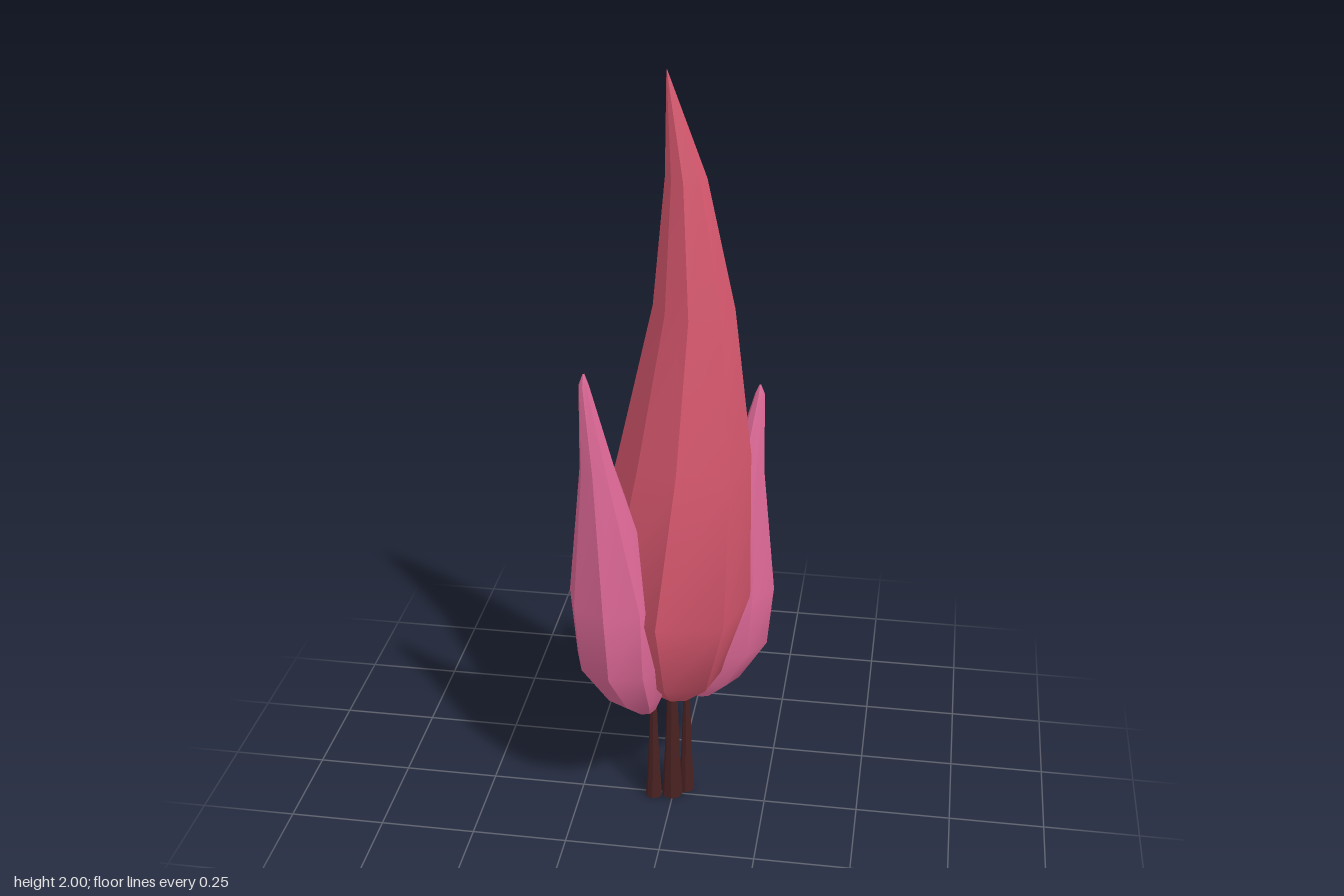
import * as THREE from 'three';
import { toCreasedNormals } from 'three/addons/utils/BufferGeometryUtils.js';

const SIDES = 8;

// Lofts eight-sided rings, each given as [height, centre offset along x, radius]
function loft(rings, uneven = []) {
  const points = [], index = [];
  rings.forEach(([y, cx, r], j) => {
    for (let i = 0; i < SIDES; i++) {
      const a = (i / SIDES) * Math.PI * 2;
      const k = r * (uneven[i] ?? 1);
      points.push(cx + Math.cos(a) * k, y, Math.sin(a) * k);
      if (j === rings.length - 1) continue;
      const p = j * SIDES + i, q = j * SIDES + ((i + 1) % SIDES);
      index.push(p, p + SIDES, q, q, p + SIDES, q + SIDES);
    }
  });
  const geometry = new THREE.BufferGeometry();
  geometry.setAttribute('position', new THREE.Float32BufferAttribute(points, 3));
  geometry.setIndex(index);
  return toCreasedNormals(geometry, 0.5);
}

function addMesh(parent, name, geometry, material) {
  const mesh = new THREE.Mesh(geometry, material);
  mesh.name = name;
  parent.add(mesh);
  return mesh;
}

export function createModel() {
  const model = new THREE.Group();
  model.name = 'flameTree';
  const crownMaterial = new THREE.MeshStandardMaterial({ color: 0xd9586f });
  const budMaterial = new THREE.MeshStandardMaterial({ color: 0xdd6896 });
  const barkMaterial = new THREE.MeshStandardMaterial({ color: 0x4a2222 });

  // Tall central crown, its tip bending sideways
  addMesh(model, 'crown', loft([
    [0.33, 0, 0.001], [0.33, 0, 0.05], [0.41, -0.005, 0.135],
    [0.64, -0.015, 0.215], [1.05, 0.03, 0.165], [1.43, 0.05, 0.1],
    [1.75, 0.03, 0.05], [2, -0.015, 0.001],
  ], [1, 1.1, 0.95, 0.87, 1, 1.13, 1.02, 1]), crownMaterial);

  // Two smaller buds on opposite sides, curving outward then up
  const budRings = [
    [0, 0.09, 0.001], [0, 0.09, 0.03], [0.06, 0.12, 0.075], [0.18, 0.16, 0.113],
    [0.37, 0.17, 0.12], [0.74, 0.215, 0.045], [0.97, 0.247, 0.013], [1, 0.247, 0.002],
  ];
  [['rightBud', -0.134, 0.11, 1, 1], ['leftBud', 0.134, -0.092, 0.87, 0.98]]
    .forEach(([name, x, z, tall, wide]) => {
      const bud = addMesh(model, name, loft(budRings), budMaterial);
      bud.rotation.y = Math.atan2(-z, x);
      bud.scale.set(wide, tall, wide * 1.03);
      bud.position.y = 0.308;
    });

  // Three flared stems under the crown and buds
  [['rightStem', -0.052, 0.012, 0.022, 0.007], ['middleStem', -0.003, 0, 0.028, 0.013],
    ['leftStem', 0.032, -0.028, 0.021, 0.007]]
    .forEach(([name, x, z, foot, top]) => {
      const stem = addMesh(model, name, loft([
        [0, 0, 0.001], [0, 0, foot], [0.14, 0, (foot + top) / 2], [0.36, 0, top],
      ]), barkMaterial);
      stem.position.set(x, 0, z);
    });

  return model;
}
